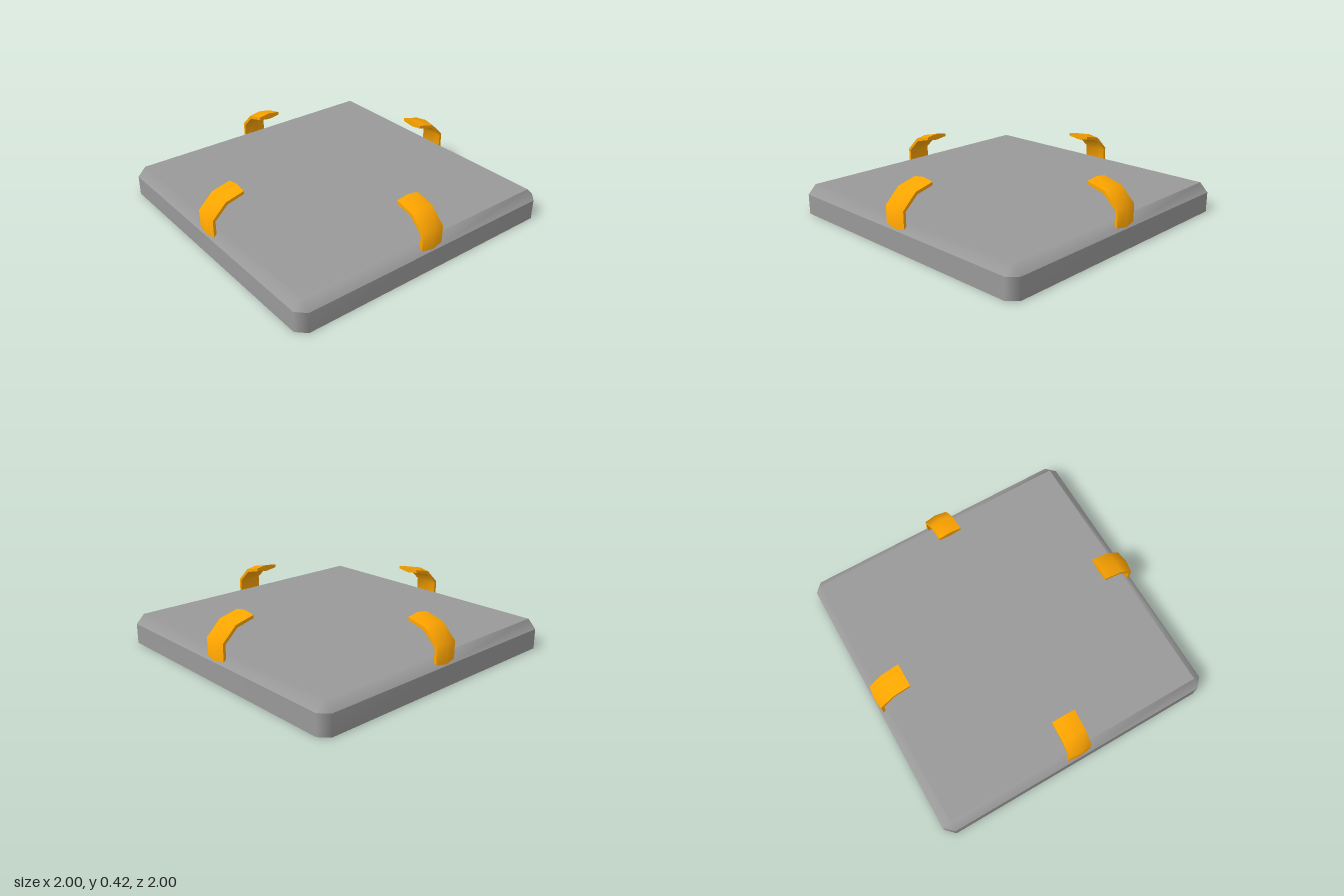
import * as THREE from 'three';
import { toCreasedNormals, mergeGeometries } from 'three/addons/utils/BufferGeometryUtils.js';

// Skin between loops that run counter-clockwise about the direction of travel.
function loft(loops) {
  const n = loops[0].length, index = [];
  for (let s = 0; s < loops.length - 1; s++) {
    for (let i = 0; i < n; i++) {
      const j = (i + 1) % n;
      const a = s * n + i, b = s * n + j, c = b + n, d = a + n;
      index.push(a, b, c, a, c, d);
    }
  }
  return build(loops.flat(), index);
}

// Flat fan closing a loop, facing along the travel or against it.
function cap(loop, forward) {
  const index = [];
  for (let i = 1; i < loop.length - 1; i++) {
    index.push(0, ...(forward ? [i, i + 1] : [i + 1, i]));
  }
  return build(loop, index);
}

function build(points, index) {
  const g = new THREE.BufferGeometry();
  g.setAttribute('position', new THREE.Float32BufferAttribute(points.flat(), 3));
  g.setIndex(index);
  g.computeVertexNormals();
  return g;
}

// Square outline with cut corners and a point at the middle of each side.
function outline(half, cut, y) {
  const h = half, k = half - cut;
  return [
    [h, k], [h, 0], [h, -k], [k, -h], [0, -h], [-k, -h],
    [-h, -k], [-h, 0], [-h, k], [-k, h], [0, h], [k, h],
  ].map(([x, z]) => [x, y, z]);
}

// Sloped rim: blends into the top at mid-side, tilts outward at the corners.
function bevelGeometry(rim, top) {
  const g = loft([rim, top]);
  const normal = new THREE.Vector3();
  top.forEach(([x, , z], i) => {
    if (x * z === 0) normal.set(0, 1, 0);
    else normal.set(Math.sign(x), Math.SQRT2, Math.sign(z)).normalize();
    g.attributes.normal.setXYZ(rim.length + i, normal.x, normal.y, normal.z);
  });
  return g;
}

function baseGeometry() {
  const bottom = outline(1, 0.06, 0);
  const rim = outline(1, 0.06, 0.14);
  const top = outline(0.94, 0, 0.2);
  return mergeGeometries([
    loft([bottom, rim]),
    bevelGeometry(rim, top),
    cap(bottom, false),
    cap([top[0], top[3], top[6], top[9]], true),
  ]);
}

// Bent strip, crowned on both faces, standing on the +x edge.
function clawGeometry() {
  const w = 0.084;
  // outer and inner ridge: x, y of each
  const stations = [
    [0.993, 0.11, 0.953, 0.11],
    [0.993, 0.28, 0.953, 0.262],
    [0.888, 0.384, 0.866, 0.342],
    [0.75, 0.418, 0.75, 0.372],
  ];
  const loops = stations.map(([ox, oy, ix, iy]) => {
    const at = (t, z) => [ox + (ix - ox) * t, oy + (iy - oy) * t, z];
    return [at(0, 0), at(0.27, -w), at(0.73, -w), at(1, 0), at(0.73, w), at(0.27, w)];
  });
  const g = mergeGeometries([
    loft(loops), cap(loops[0], false), cap(loops[3], true),
  ]);
  return toCreasedNormals(g, 0.9);
}

export function createModel() {
  const model = new THREE.Group();
  model.name = 'clawedPlatform';

  const base = new THREE.Mesh(baseGeometry(), new THREE.MeshStandardMaterial({ color: 0x999999 }));
  base.name = 'base';
  model.add(base);

  // One claw at the middle of each side
  const geometry = clawGeometry();
  const orange = new THREE.MeshStandardMaterial({ color: 0xffa500 });
  ['leftClaw', 'backClaw', 'rightClaw', 'frontClaw'].forEach((name, i) => {
    const claw = new THREE.Mesh(geometry, orange);
    claw.name = name;
    claw.rotation.y = i * Math.PI / 2;
    model.add(claw);
  });
  return model;
}
